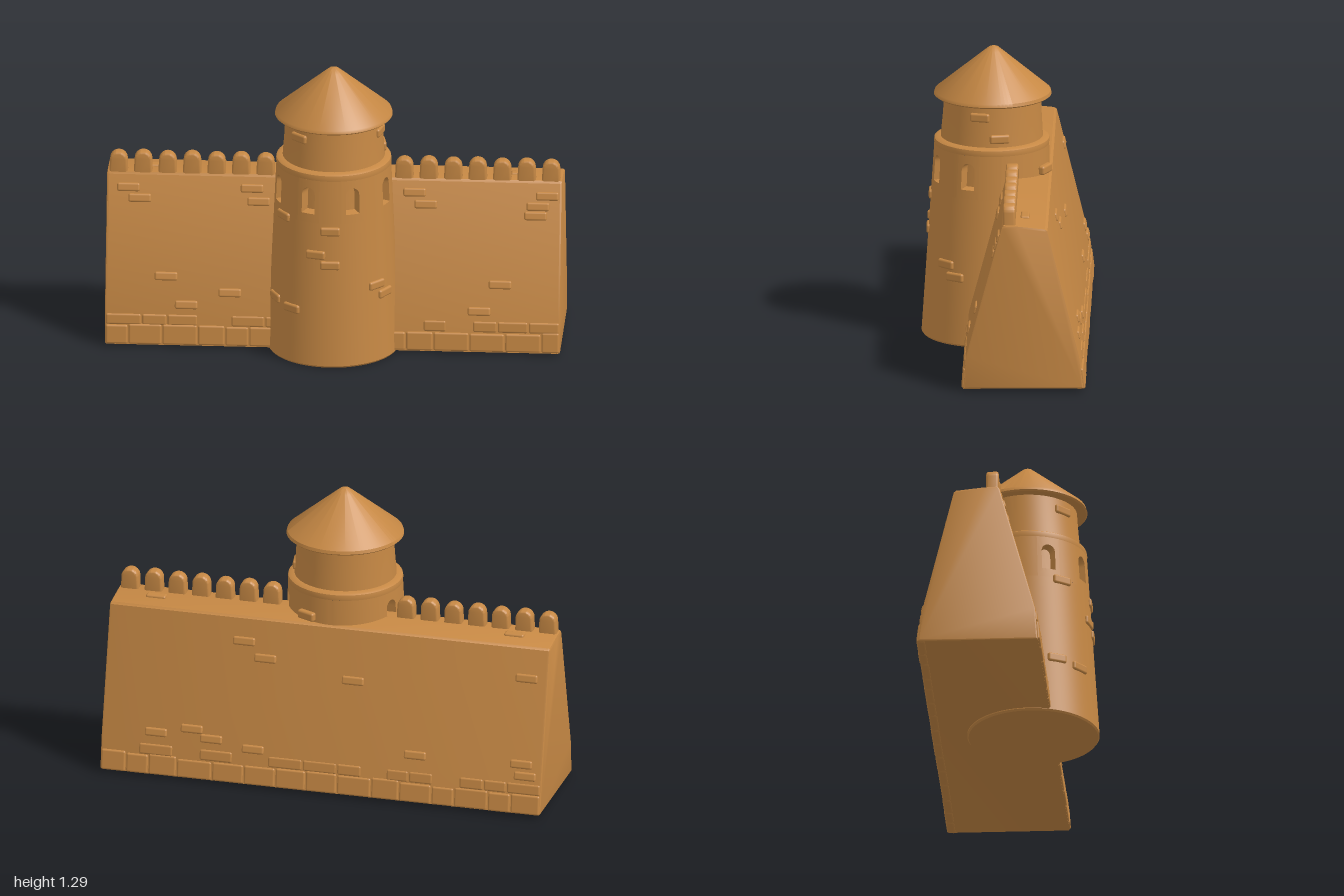
import * as THREE from 'three';
import { toCreasedNormals } from 'three/addons/utils/BufferGeometryUtils.js';
import { RoundedBoxGeometry } from 'three/addons/geometries/RoundedBoxGeometry.js';

const RAD = Math.PI / 180;
const sandstone = new THREE.MeshStandardMaterial({ color: 0xc68844 });
sandstone.name = 'sandstone';

function add(parent, name, geometry) {
  const mesh = new THREE.Mesh(geometry, sandstone);
  mesh.name = name;
  parent.add(mesh);
  return mesh;
}

function seeded(seed) {
  return () => (seed = (seed * 16807) % 2147483647) / 2147483647;
}

// Sloping wall faces: z at height y, front (side 1) or back (side -1)
function faceZ(y, side) {
  if (side > 0) return y < 0.16 ? 0.168 - 0.07 * y : 0.157 - (y - 0.16) * 0.27;
  return y < 0.16 ? -0.36 + 0.12 * y : -0.341 + (y - 0.16) * 0.245;
}

// Tower: radius and leaning centre line at height y
const towerR = y => (y < 0.88 ? 0.289 - 0.045 * y : 0.222 - 0.06 * (y - 0.88));
const towerZ = y => 0.08 - 0.02 * y;

function lean(geometry) {
  const p = geometry.attributes.position;
  for (let i = 0; i < p.count; i++) p.setZ(i, p.getZ(i) + towerZ(p.getY(i)));
  return toCreasedNormals(geometry, 0.6);
}

function lathe(profile, start = 0, length = Math.PI * 2) {
  const points = profile.map(([r, y]) => new THREE.Vector2(r, y));
  return lean(new THREE.LatheGeometry(points, Math.max(4, Math.round(length * 15)), start, length));
}

// Wall panel with an arched niche, built as rings from its border to the niche floor
const BAND = { low: 0.66, high: 0.855, half: 0.2 };
function windowPanel(angle) {
  const n = 8, rings = [];
  const outline = (k, f) => {
    const w = 0.031, low = 0.7, spring = 0.788;
    if (k === 0) return [-w + 2 * w * f, low];
    if (k === 1) return [w, low + (spring - low) * f];
    if (k === 2) return [w * Math.cos(Math.PI * f), spring + w * Math.sin(Math.PI * f)];
    return [-w, spring + (low - spring) * f];
  };
  const border = (k, f) => {
    const w = BAND.half * towerR(0.76), h = BAND.high - BAND.low;
    return [[-w + 2 * w * f, BAND.low], [w, BAND.low + h * f],
      [w - 2 * w * f, BAND.high], [-w, BAND.high - h * f]][k];
  };
  // [blend border to arch, scale about the centre, depth]
  const steps = [[0, 1, 0], [0.5, 1, 0], [1, 1, 0], [1, 0.92, 0.045], [1, 0, 0.045]];
  for (const [blend, scale, depth] of steps) {
    const ring = [];
    for (let i = 0; i < 4 * n; i++) {
      const k = Math.floor(i / n), f = (i % n) / n;
      const [bx, by] = border(k, f), [ax, ay] = outline(k, f);
      const s = (bx + (ax - bx) * blend) * scale;
      const y = 0.76 + (by + (ay - by) * blend - 0.76) * scale;
      const a = angle + s / towerR(0.76), r = towerR(y) - depth;
      ring.push([r * Math.sin(a), y, r * Math.cos(a)]);
    }
    rings.push(ring);
  }
  const pos = [];
  for (let j = 0; j < rings.length - 1; j++) {
    for (let i = 0; i < 4 * n; i++) {
      const m = (i + 1) % (4 * n);
      const a = rings[j][i], b = rings[j][m], c = rings[j + 1][m], d = rings[j + 1][i];
      pos.push(...a, ...b, ...d);
      if (j < rings.length - 2) pos.push(...b, ...c, ...d);
    }
  }
  const g = new THREE.BufferGeometry();
  g.setAttribute('position', new THREE.Float32BufferAttribute(pos, 3));
  return lean(g);
}

function buildTower() {
  const tower = new THREE.Group();
  tower.name = 'tower';
  add(tower, 'towerBase', lathe([[0, 0], [0.283, 0], [0.289, 0.008], [towerR(0.3), 0.3], [towerR(BAND.low), BAND.low]]));
  // Window band: niches alternate with plain stretches
  const band = [[towerR(BAND.low), BAND.low], [towerR(BAND.high), BAND.high]];
  for (let i = 0; i < 6; i++) {
    const angle = (-112.5 + 45 * i) * RAD;
    add(tower, 'archedWindow', windowPanel(angle));
    const gap = (i < 5 ? 45 : 135) * RAD - 2 * BAND.half;
    add(tower, 'windowBandWall', lathe(band, angle + BAND.half, gap));
  }
  // Ledge and narrower upper storey
  add(tower, 'upperTower', lathe([[towerR(BAND.high), BAND.high], [0.252, 0.868], [0.25, 0.88],
    [0.24, 0.886], [0.223, 0.889], [0.216, 0.98], [0.211, 1.075]]));
  add(tower, 'roof', lathe([[0, 1.072], [0.25, 1.072], [0.257, 1.078], [0.253, 1.092],
    [0.04, 1.27], [0.02, 1.286], [0, 1.293]]));
  // Scattered raised bricks: [angle in degrees, height]
  const bricks = [[-14, 0.515], [0, 0.47], [47, 0.355], [58, 0.305], [-63, 0.265], [-38, 0.25], [0, 0.625],
    [-54, 0.655], [76, 1.02], [100, 0.925], [-42, 1.02], [155, 0.765]];
  for (const [deg, y] of bricks) {
    const a = deg * RAD, r = towerR(y) - (deg === 155 ? -0.008 : 0.006);
    const brick = add(tower, 'towerBrick', new RoundedBoxGeometry(0.088, 0.04, 0.03, 2, 0.01));
    brick.position.set(r * Math.sin(a), y, r * Math.cos(a) + towerZ(y));
    brick.rotation.y = a;
  }
  return tower;
}

function faceBlock(parent, name, x, y, w, h, side, out) {
  const block = add(parent, name, new RoundedBoxGeometry(w, h, 0.04, 2, 0.009));
  block.position.set(x, y, faceZ(y, side) + side * (out - 0.02));
  block.rotation.x = Math.atan((faceZ(y + 0.01, side) - faceZ(y - 0.01, side)) / 0.02);
}

function buildWall() {
  const wall = new THREE.Group();
  wall.name = 'wall';
  // Tapered body, extruded along x
  const section = new THREE.Shape([[0.168, 0.01], [0.157, 0.16], [0, 0.742], [-0.008, 0.752], [-0.07, 0.75],
    [-0.19, 0.738], [-0.201, 0.73], [-0.341, 0.16], [-0.36, 0.015]].map(([z, y]) => new THREE.Vector2(-z, y)));
  const body = new THREE.ExtrudeGeometry(section, {
    depth: 1.97, bevelThickness: 0.01, bevelSize: 0.008, bevelOffset: -0.008, bevelSegments: 2 });
  body.translate(0, 0, -0.985);
  body.rotateY(Math.PI / 2);
  add(wall, 'wallBody', toCreasedNormals(body, 0.5));

  // Round-topped battlements, mirrored about the tower
  const arch = new THREE.Shape();
  arch.moveTo(-0.042, 0.7);
  arch.lineTo(0.042, 0.7);
  arch.lineTo(0.038, 0.802);
  arch.absarc(0, 0.802, 0.038, 0, Math.PI, false);
  const merlon = toCreasedNormals(new THREE.ExtrudeGeometry(arch, {
    depth: 0.034, bevelThickness: 0.01, bevelSize: 0.01, bevelOffset: -0.01, bevelSegments: 3, curveSegments: 12 }), 0.6);
  for (const side of [-1, 1]) {
    for (let i = 0; i < 7; i++) {
      add(wall, 'battlement', merlon).position.set(side * (0.945 - 0.107 * i), i % 2 * 0.003, -0.05);
    }
  }

  // Foundation stones: a full lower course and a patchy upper one
  const rnd = seeded(41);
  for (const side of [1, -1]) {
    for (const row of [0, 1]) {
      let x = -0.993;
      while (x < 0.95) {
        let w = 0.1 + rnd() * 0.06;
        if (x + w > 0.93) w = 0.993 - x;
        const h = row ? 0.05 : 0.082 + rnd() * 0.012, out = 0.006 + rnd() * 0.004;
        const hidden = side > 0 && Math.abs(x + w / 2) < 0.2;
        if (!hidden && (row === 0 || rnd() < 0.6)) {
          faceBlock(wall, 'foundationStone', x + w / 2, row ? 0.124 : 0.012 + h / 2, w - 0.004, h, side, row ? out * 0.6 : out);
        }
        x += w;
      }
    }
  }

  // Scattered raised bricks: [x, y] on each face
  const front = [[-0.9, 0.685], [-0.85, 0.64], [-0.36, 0.69], [-0.33, 0.635], [-0.73, 0.31], [-0.45, 0.245],
    [-0.64, 0.19], [0.35, 0.69], [0.4, 0.64], [0.93, 0.685], [0.89, 0.64], [0.88, 0.6], [0.73, 0.305], [0.64, 0.19]];
  const back = [[0.38, 0.63], [0.28, 0.565], [-0.12, 0.51], [-0.9, 0.6], [0.59, 0.23], [0.5, 0.195],
    [0.75, 0.2], [-0.42, 0.22], [-0.9, 0.23], [-0.92, 0.18], [0.31, 0.17]];
  for (const [x, y] of front) faceBlock(wall, 'frontBrick', x, y, 0.1, 0.038, 1, 0.008);
  for (const [x, y] of back) faceBlock(wall, 'backBrick', x, y, 0.1, 0.038, -1, 0.008);
  for (const x of [-0.81, 0.81]) {
    add(wall, 'walkwayBrick', new RoundedBoxGeometry(0.09, 0.03, 0.04, 2, 0.009)).position.set(x, 0.741, -0.1);
  }
  return wall;
}

export function createModel() {
  const model = new THREE.Group();
  model.name = 'castleWall';
  model.add(buildWall(), buildTower());
  return model;
}
